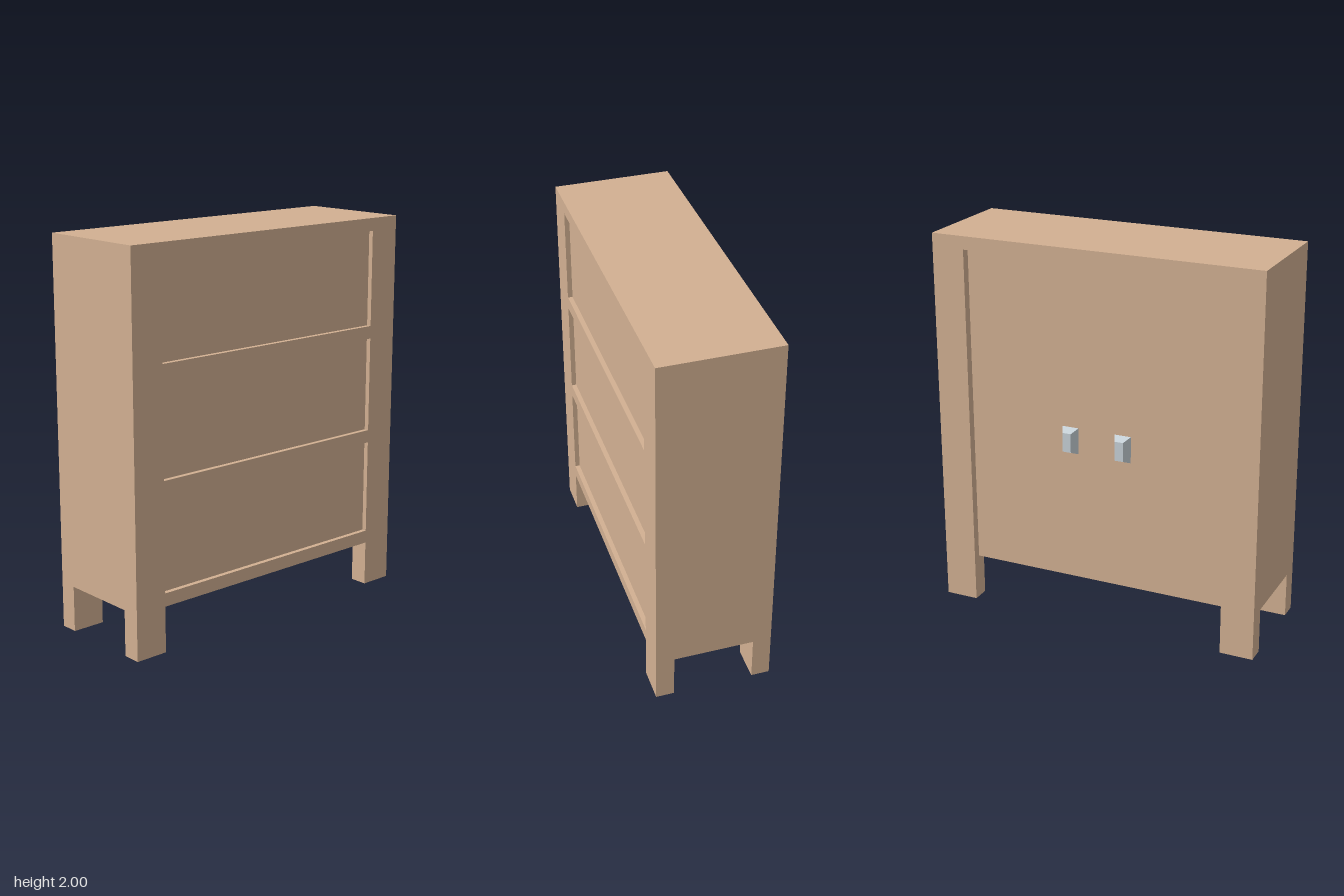
import * as THREE from 'three';

const W = 0.877, H = 2, D = 0.303;      // half width, height, half depth
const INNER = 0.702, LEG_H = 0.237;     // half width between posts, leg height
const POST = 0.095;                     // depth of posts and legs
const RAIL_TOP = 1.932;

export function createModel() {
  const group = new THREE.Group();
  const wood = new THREE.MeshStandardMaterial({ color: 0xd2b092, flatShading: true });
  const metal = new THREE.MeshStandardMaterial({ color: 0xc6d0d6, flatShading: true });

  const add = (name, geometry, material = wood) => {
    const mesh = new THREE.Mesh(geometry, material);
    mesh.name = name;
    group.add(mesh);
    return mesh;
  };
  // Box given by its lower and upper limits
  const box = (name, x0, x1, y0, y1, z0, z1) =>
    add(name, new THREE.BoxGeometry(x1 - x0, y1 - y0, z1 - z0))
      .position.set((x0 + x1) / 2, (y0 + y1) / 2, (z0 + z1) / 2);
  const points = (list) => list.map(([x, y]) => new THREE.Vector2(x, y));
  // Upright frame with two legs; archTop is the height of the opening between them
  const frameShape = (archTop) => new THREE.Shape(points([
    [-W, 0], [-INNER, 0], [-INNER, archTop], [INNER, archTop],
    [INNER, 0], [W, 0], [W, H], [-W, H],
  ]));
  const extrude = (shape) =>
    new THREE.ExtrudeGeometry(shape, { depth: POST, bevelEnabled: false });

  // Carcass between the front and back frames
  box('carcass', -W, W, LEG_H, H, -D + POST, D - POST);

  // Front frame with three drawer openings, each filled by a recessed drawer front
  const front = frameShape(LEG_H);
  for (let i = 0; i < 3; i++) {
    const y0 = 0.305 + i * 0.565, y1 = y0 + 0.498;
    front.holes.push(new THREE.Path(points([
      [-INNER, y0], [-INNER, y1], [INNER, y1], [INNER, y0],
    ])));
    box('drawerFront', -INNER, INNER, y0, y1, D - POST, D - 0.025);
  }
  add('frontFrame', extrude(front)).position.z = D - POST;

  // Back frame: posts and top rail around a recessed door panel
  add('backFrame', extrude(frameShape(RAIL_TOP))).position.z = -D;
  box('doorPanel', -INNER, INNER, LEG_H, RAIL_TOP, -D + 0.044, -D + POST);

  // Tapered handles: a box whose outer face is narrowed
  for (const side of [1, -1]) {
    const geometry = new THREE.BoxGeometry(0.09, 0.14, 0.044);
    const p = geometry.attributes.position;
    for (let i = 0; i < p.count; i++) {
      if (p.getZ(i) < 0) p.setXY(i, p.getX(i) * 0.5, p.getY(i) * 0.72);
    }
    geometry.computeVertexNormals();
    add('handle', geometry, metal).position.set(side * 0.144, 0.997, -D + 0.022);
  }
  return group;
}
